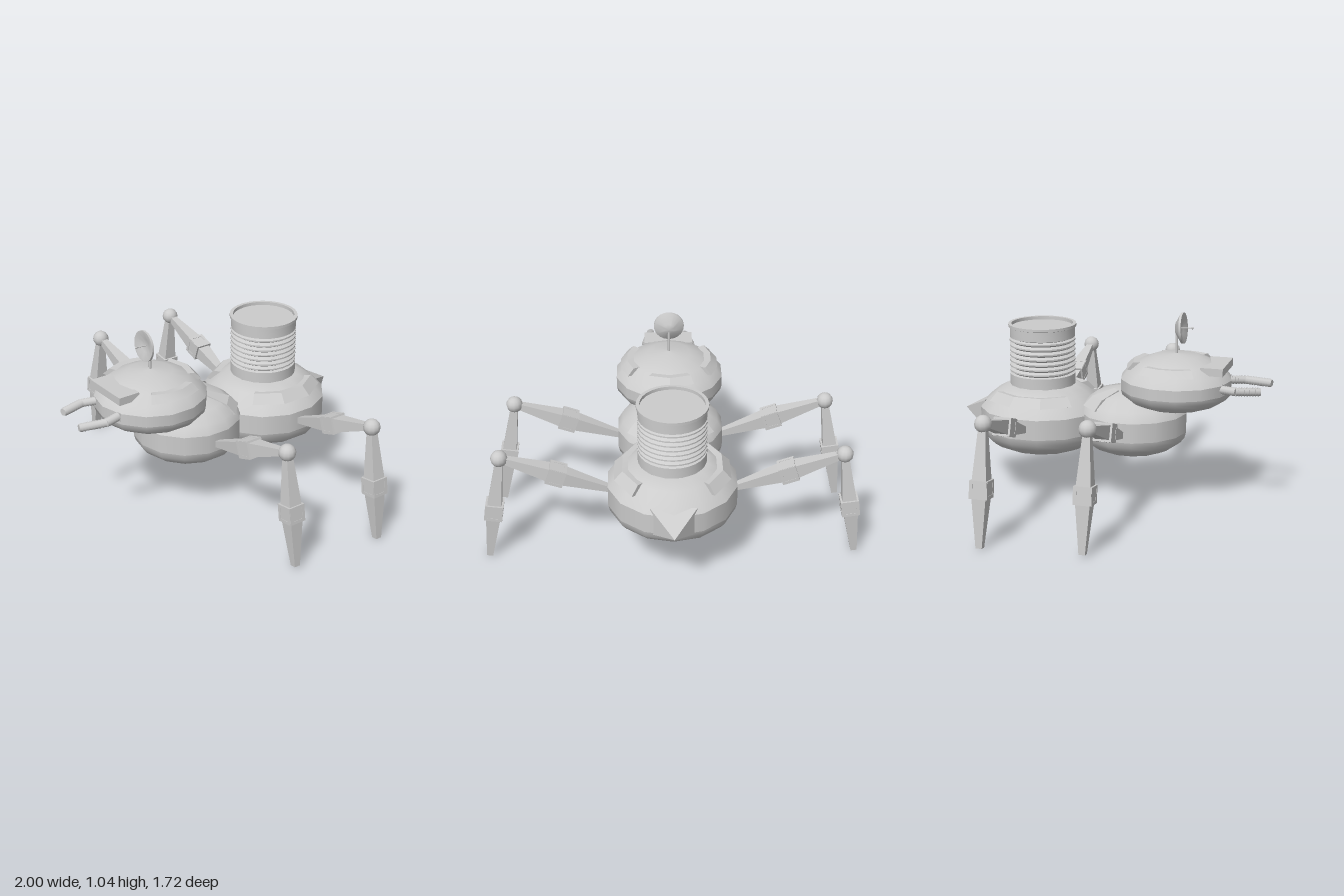
import * as THREE from 'three';
import { toCreasedNormals } from 'three/addons/utils/BufferGeometryUtils.js';

const mat = new THREE.MeshStandardMaterial({ color: 0xcccccc, side: THREE.DoubleSide });
const flat = new THREE.MeshStandardMaterial({ color: 0xcccccc, flatShading: true });
const SIDES = 14;

function add(parent, name, geo, material = mat, x = 0, y = 0, z = 0) {
  const m = new THREE.Mesh(geo, material);
  m.name = name;
  m.position.set(x, y, z);
  parent.add(m);
  return m;
}
const pts = (list) => list.map(([r, y]) => new THREE.Vector2(r, y));
const lathe = (list, seg = SIDES, start = 0, len = Math.PI * 2) =>
  new THREE.LatheGeometry(pts(list), seg, start, len);

// Rounded body section: bowl below, upright band, dome above
function pod(name, z, r, bottom, bandLow, bandHigh, dome) {
  const g = new THREE.Group();
  g.name = name;
  g.position.z = z;
  const bowl = [];
  for (let i = 0; i <= 7; i++) {
    const a = (i / 7) * Math.PI / 2;
    bowl.push([r * Math.sin(a), bandLow - (bandLow - bottom) * Math.cos(a)]);
  }
  add(g, name + 'Bowl', lathe(bowl));
  add(g, name + 'Band', lathe([[r, bandLow], [r, bandHigh]]));
  add(g, name + 'Dome', lathe([[r, bandHigh], ...dome]));
  return g;
}

// Raised strip wrapped round a dome, closed at both ends
function panel(parent, name, section, centre, len, seg) {
  const start = centre - len / 2;
  add(parent, name, toCreasedNormals(lathe([...section, section[0]], seg, start, len), 0.3));
  for (const a of [start, start + len]) {
    const cap = new THREE.ShapeGeometry(new THREE.Shape(pts(section)));
    add(parent, name + 'End', cap.rotateY(a - Math.PI / 2));
  }
}

// Square tapered bar along local x
function bar(parent, name, x0, w0, x1, w1) {
  const geo = new THREE.CylinderGeometry(w1 / Math.SQRT2, w0 / Math.SQRT2, x1 - x0, 4);
  geo.rotateY(Math.PI / 4).rotateZ(-Math.PI / 2);
  return add(parent, name, geo, flat, (x0 + x1) / 2);
}

// Square sleeve with a recessed window on each face
function sleeve(parent, x) {
  add(parent, 'sleeveCore', new THREE.BoxGeometry(0.08, 0.08, 0.08), flat, x);
  const square = (h) => [[-h, -h], [h, -h], [h, h], [-h, h]];
  const s = new THREE.Shape(pts(square(0.046)));
  s.holes.push(new THREE.Path(pts(square(0.03))));
  const geo = new THREE.ExtrudeGeometry(s, { depth: 0.096, bevelEnabled: false }).translate(0, 0, -0.048);
  add(parent, 'sleeveFrame', geo, flat, x);
  add(parent, 'sleeveFrame', geo.clone().rotateX(Math.PI / 2), flat, x);
}

// One limb section, swelling from both ends to a sleeve
function limb(parent, name, a, b, mid, wStart, wEnd) {
  const g = new THREE.Group();
  g.name = name;
  g.position.set(a[0], a[1], 0);
  g.rotation.z = Math.atan2(b[1] - a[1], b[0] - a[0]);
  const len = Math.hypot(b[0] - a[0], b[1] - a[1]);
  bar(g, name + 'Inner', 0, wStart, len * mid, 0.082);
  bar(g, name + 'Outer', len * mid, 0.082, len, wEnd);
  sleeve(g, len * mid);
  parent.add(g);
}

function leg(name, hip, knee, foot) {
  const g = new THREE.Group();
  g.name = name;
  limb(g, 'upperLeg', hip, knee, 0.5, 0.03, 0.03);
  limb(g, 'lowerLeg', knee, foot, 0.52, 0.035, 0.033);
  add(g, 'knee', new THREE.SphereGeometry(0.045, 12, 8), mat, knee[0], knee[1]);
  return g;
}

// Ribbed mandible following a bent path
function mandible(parent, name, path) {
  const curve = new THREE.CurvePath();
  for (let i = 0; i < 2; i++) {
    curve.add(new THREE.LineCurve3(...[path[i], path[i + 1]].map(([x, z]) => new THREE.Vector3(x, 0.668, z))));
  }
  const n = 16, step = curve.getLength() / n;
  const up = new THREE.Vector3(0, 1, 0);
  for (let i = 0; i < n; i++) {
    const t = (i + 0.5) / n;
    const m = add(parent, name, new THREE.CylinderGeometry(0.019, 0.024, step * 1.1, 10));
    m.position.copy(curve.getPointAt(t));
    m.quaternion.setFromUnitVectors(up, curve.getTangentAt(t));
  }
}

export function createModel() {
  const model = new THREE.Group();
  const bug = new THREE.Group();
  bug.name = 'insectMachine';
  bug.position.x = -0.008;
  model.add(bug);

  // Abdomen with side strips and rear sting
  const abdomen = pod('abdomen', -0.4, 0.345, 0.22, 0.37, 0.48,
    [[0.31, 0.52], [0.25, 0.57], [0.18, 0.607], [0, 0.61]]);
  bug.add(abdomen);
  for (const s of [1, -1]) {
    panel(abdomen, 'abdomenStrip', [[0.28, 0.525], [0.315, 0.535], [0.27, 0.582], [0.22, 0.575]],
      s * Math.PI / 2, 1.68, 3);
  }
  const sting = new THREE.CylinderGeometry(0, Math.SQRT2, 0.16, 4);
  sting.rotateY(Math.PI / 4).rotateX(-Math.PI / 2).scale(0.12, 0.08, 1);
  add(abdomen, 'sting', sting, flat, 0, 0.428, -0.38);

  // Ribbed stack with a shallow recessed top
  const profile = [[0.18, 0.59], [0.18, 0.665]];
  for (let i = 0; i < 7; i++) {
    const y = 0.67 + i * 0.028;
    profile.push([0.163, y], [0.18, y + 0.01], [0.18, y + 0.018]);
  }
  profile.push([0.163, 0.862], [0.178, 0.868], [0.178, 0.922], [0.186, 0.925], [0.186, 0.94],
    [0.168, 0.94], [0.168, 0.922], [0, 0.922]);
  add(abdomen, 'stack', toCreasedNormals(lathe(profile, 28), 0.5));

  // Thorax with rear shoulder plates
  const thorax = pod('thorax', 0.12, 0.293, 0.25, 0.385, 0.49,
    [[0.265, 0.54], [0.2, 0.587], [0.1, 0.612], [0, 0.62]]);
  bug.add(thorax);
  for (const s of [1, -1]) {
    panel(thorax, 'shoulderPlate', [[0.25, 0.52], [0.28, 0.53], [0.23, 0.58], [0.11, 0.617], [0.1, 0.6]],
      Math.PI + s * 0.75, 0.5, 1);
  }

  // Head with side and rear strips, brow and mouth
  const head = pod('head', 0.355, 0.3, 0.516, 0.63, 0.69,
    [[0.27, 0.728], [0.21, 0.775], [0.12, 0.81], [0, 0.823]]);
  bug.add(head);
  const strip = [[0.23, 0.735], [0.272, 0.745], [0.235, 0.782], [0.18, 0.778]];
  for (const s of [1, -1]) panel(head, 'headStrip', strip, s * Math.PI / 2, 1.15, 3);
  panel(head, 'rearStrip', strip, Math.PI, 1.0, 2);
  add(head, 'brow', new THREE.BoxGeometry(0.27, 0.042, 0.12), flat, 0, 0.762, 0.22);
  add(head, 'mouth', new THREE.BoxGeometry(0.25, 0.05, 0.12), flat, 0, 0.668, 0.215);
  mandible(bug, 'rightMandible', [[-0.11, 0.61], [-0.135, 0.7], [-0.1, 0.83]]);
  mandible(bug, 'leftMandible', [[0.1, 0.61], [0.128, 0.71], [0.095, 0.855]]);

  // Dish antenna
  add(bug, 'antennaPost', new THREE.CylinderGeometry(0.007, 0.007, 0.15, 8), mat, 0, 0.885, 0.355);
  const dish = new THREE.Group();
  dish.name = 'dish';
  dish.position.set(0, 0.957, 0.357);
  dish.rotation.x = Math.PI / 2 - 0.06;
  const bowl = [[0, -0.012], [0.03, -0.006], [0.083, 0.026], [0.083, 0.038], [0.074, 0.038], [0.035, 0.024], [0, 0.02]];
  add(dish, 'dishBowl', toCreasedNormals(lathe(bowl, 20), 0.5));
  add(dish, 'dishFeed', new THREE.CylinderGeometry(0.003, 0.003, 0.065, 6), mat, 0, 0.05, 0);
  add(dish, 'dishFeedTip', new THREE.SphereGeometry(0.007, 8, 6), mat, 0, 0.082, 0);
  bug.add(dish);

  // Four legs, the right pair turned about the vertical
  for (const side of [1, -1]) {
    const word = side > 0 ? 'left' : 'right';
    const front = leg(word + 'FrontLeg', [0.265, 0.42], [0.852, 0.625], [0.943, 0.012]);
    const rear = leg(word + 'RearLeg', [0.315, 0.42], [0.895, 0.62], [0.983, 0.002]);
    front.position.z = 0.125;
    rear.position.z = -0.398;
    for (const l of [front, rear]) {
      if (side < 0) l.rotation.y = Math.PI;
      bug.add(l);
    }
  }
  return model;
}
